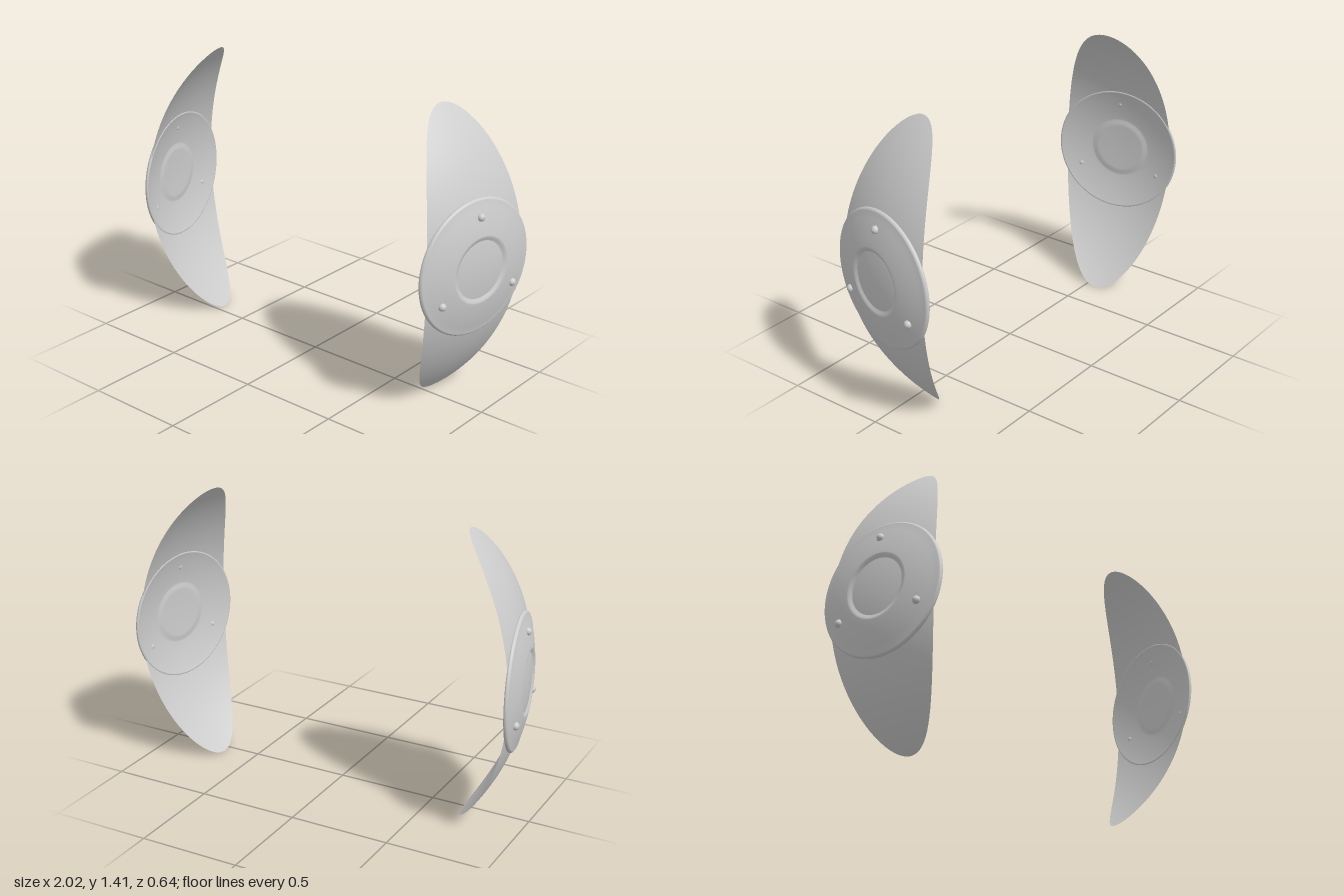
import * as THREE from 'three';

const R = 0.99;                 // radius of the sphere all parts follow
const APEX = 0.965;             // distance of the plate centre from the middle
const TILT = THREE.MathUtils.degToRad(78.2);
const MID_Y = 0.71;

// depth of a spherical cap at a given radius from its axis, zero at the centre
const cap = (r, offset = 0) => Math.sqrt((R + offset) ** 2 - r * r) - R;

// elliptical blade lying on the sphere, facing +z
function bladeGeometry(halfWidth, halfHeight, rings = 28, sides = 96) {
  const pos = [], nor = [], index = [];
  for (let i = 0; i <= rings; i++) {
    for (let j = 0; j <= sides; j++) {
      const a = (j / sides) * Math.PI * 2, k = i / rings;
      const x = halfWidth * k * Math.cos(a), y = halfHeight * k * Math.sin(a);
      const z = cap(Math.hypot(x, y));
      pos.push(x, y, z);
      nor.push(x / R, y / R, (z + R) / R);
      if (i < rings && j < sides) {
        const p = i * (sides + 1) + j, q = p + sides + 1;
        index.push(p, q, q + 1);
        if (i > 0) index.push(p, q + 1, p + 1);
      }
    }
  }
  const g = new THREE.BufferGeometry();
  g.setAttribute('position', new THREE.Float32BufferAttribute(pos, 3));
  g.setAttribute('normal', new THREE.Float32BufferAttribute(nor, 3));
  g.setIndex(index);
  return g;
}

// round cover with rolled rim and a recessed centre, facing +z
function coverGeometry() {
  const p = [];
  const add = (r, offset) => p.push(new THREE.Vector2(r, cap(r, offset)));
  // back, with the recess showing as a slight bulge
  for (const [r, o] of [[0, -0.016], [0.06, -0.014], [0.12, -0.012], [0.135, -0.01], [0.15, -0.004], [0.16, -0.003]]) add(r, o);
  for (let i = 1; i <= 6; i++) add(0.16 + 0.155 * i / 6, -0.003);
  // rolled rim
  for (let i = 0; i <= 8; i++) {
    const a = -Math.PI / 2 + Math.PI * i / 8;
    add(0.317 + 0.011 * Math.cos(a), 0.005 + 0.009 * Math.sin(a));
  }
  // front face and recess
  for (let i = 0; i <= 6; i++) add(0.308 - 0.145 * i / 6, 0.012);
  for (const [r, o] of [[0.156, 0.011], [0.148, 0.006], [0.138, 0], [0.128, -0.004], [0.115, -0.006], [0.06, -0.008], [0, -0.01]]) add(r, o);
  return new THREE.LatheGeometry(p, 96).rotateX(Math.PI / 2);
}

export function createModel() {
  const model = new THREE.Group();
  model.name = 'sidePlates';
  const grey = new THREE.MeshStandardMaterial({ color: 0xcccccc, side: THREE.DoubleSide });
  grey.name = 'lightGrey';

  const blade = bladeGeometry(0.29, 0.707);
  const cover = coverGeometry();
  const rivet = new THREE.SphereGeometry(0.019, 20, 14);

  for (const s of [1, -1]) {
    const side = new THREE.Group();
    side.name = s > 0 ? 'leftPlate' : 'rightPlate';
    side.position.set(s * APEX, MID_Y, 0);
    side.rotation.y = s * TILT;
    const add = (geometry, name) => {
      const m = new THREE.Mesh(geometry, grey);
      m.name = name;
      side.add(m);
      return m;
    };
    add(blade, 'blade');
    add(cover, 'roundCover');
    // three rivets around the cover
    for (let i = 0; i < 3; i++) {
      const a = Math.PI / 2 + i * Math.PI * 2 / 3;
      add(rivet, 'rivet').position.set(0.248 * Math.cos(a), 0.248 * Math.sin(a), cap(0.248, 0.012));
    }
    model.add(side);
  }
  return model;
}
